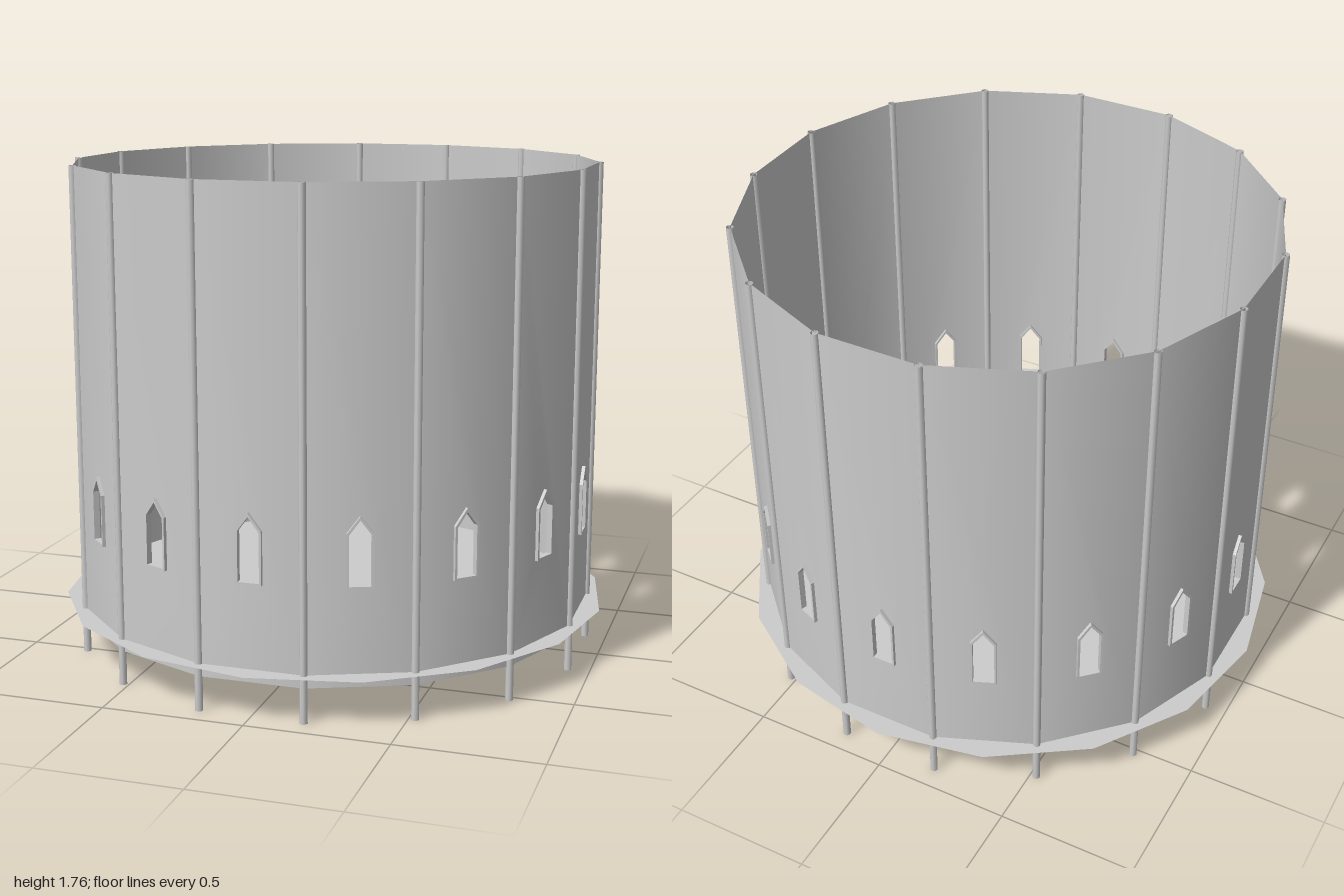
import * as THREE from 'three';

const SIDES = 16;
const STEP = (Math.PI * 2) / SIDES;
const RADIUS = 0.94;
const APOTHEM = RADIUS * Math.cos(STEP / 2);
const HALF = RADIUS * Math.sin(STEP / 2);
const BOTTOM = 0.12, TOP = 1.76, FLOOR = 0.165;

const grey = new THREE.MeshStandardMaterial({ color: 0xcccccc, side: THREE.DoubleSide });

function add(parent, name, geometry) {
  const mesh = new THREE.Mesh(geometry, grey);
  mesh.name = name;
  parent.add(mesh);
  return mesh;
}

// Pointed window outline: half width, sill, shoulder and peak heights
function outline(target, w, sill, shoulder, peak) {
  target.moveTo(-w, sill);
  target.lineTo(w, sill);
  target.lineTo(w, shoulder);
  target.lineTo(0, peak);
  target.lineTo(-w, shoulder);
  target.closePath();
  return target;
}

// Flat wall panel with a window hole, normals blended round the drum
function panelGeometry() {
  const shape = new THREE.Shape();
  shape.moveTo(-HALF, BOTTOM);
  shape.lineTo(HALF, BOTTOM);
  shape.lineTo(HALF, TOP);
  shape.lineTo(-HALF, TOP);
  shape.closePath();
  shape.holes.push(outline(new THREE.Path(), 0.041, 0.461, 0.639, 0.692));
  const geometry = new THREE.ShapeGeometry(shape);
  geometry.translate(0, 0, APOTHEM);
  const pos = geometry.attributes.position;
  const normal = new THREE.Vector3();
  for (let i = 0; i < pos.count; i++) {
    normal.set(pos.getX(i), 0, APOTHEM).normalize();
    geometry.attributes.normal.setXYZ(i, normal.x, 0, normal.z);
  }
  return geometry;
}

// Window frame: pointed ring with a little depth
function frameGeometry() {
  const shape = outline(new THREE.Shape(), 0.045, 0.457, 0.641, 0.699);
  shape.holes.push(outline(new THREE.Path(), 0.037, 0.465, 0.637, 0.686));
  const geometry = new THREE.ExtrudeGeometry(shape, { depth: 0.022, bevelEnabled: false });
  geometry.translate(0, 0, APOTHEM - 0.01);
  return geometry;
}

export function createModel() {
  const model = new THREE.Group();
  model.name = 'roundHall';

  const panel = panelGeometry();
  const frame = frameGeometry();
  const post = new THREE.CylinderGeometry(0.0135, 0.0135, TOP, 8, 1, true);
  post.translate(0, TOP / 2, RADIUS);

  // Wall panels, window frames and corner posts round the drum
  for (let i = 0; i < SIDES; i++) {
    const bay = new THREE.Group();
    bay.name = 'bay' + (i + 1);
    bay.rotation.y = i * STEP;
    add(bay, 'wallPanel', panel);
    add(bay, 'windowFrame', frame);
    add(bay, 'cornerPost', post).rotation.y = STEP / 2;
    model.add(bay);
  }

  // Thin floor plate whose corners reach past the wall
  const floor = add(model, 'floor', new THREE.CircleGeometry(1, SIDES));
  floor.rotation.x = -Math.PI / 2;
  floor.position.y = FLOOR;

  // Small round table in the middle
  const tableHeight = 0.555;
  const legHeight = tableHeight - FLOOR;
  add(model, 'tableLeg', new THREE.CylinderGeometry(0.008, 0.008, legHeight, 12))
    .position.y = FLOOR + legHeight / 2;
  add(model, 'tableTop', new THREE.CylinderGeometry(0.056, 0.056, 0.004, 32))
    .position.y = tableHeight;

  return model;
}
